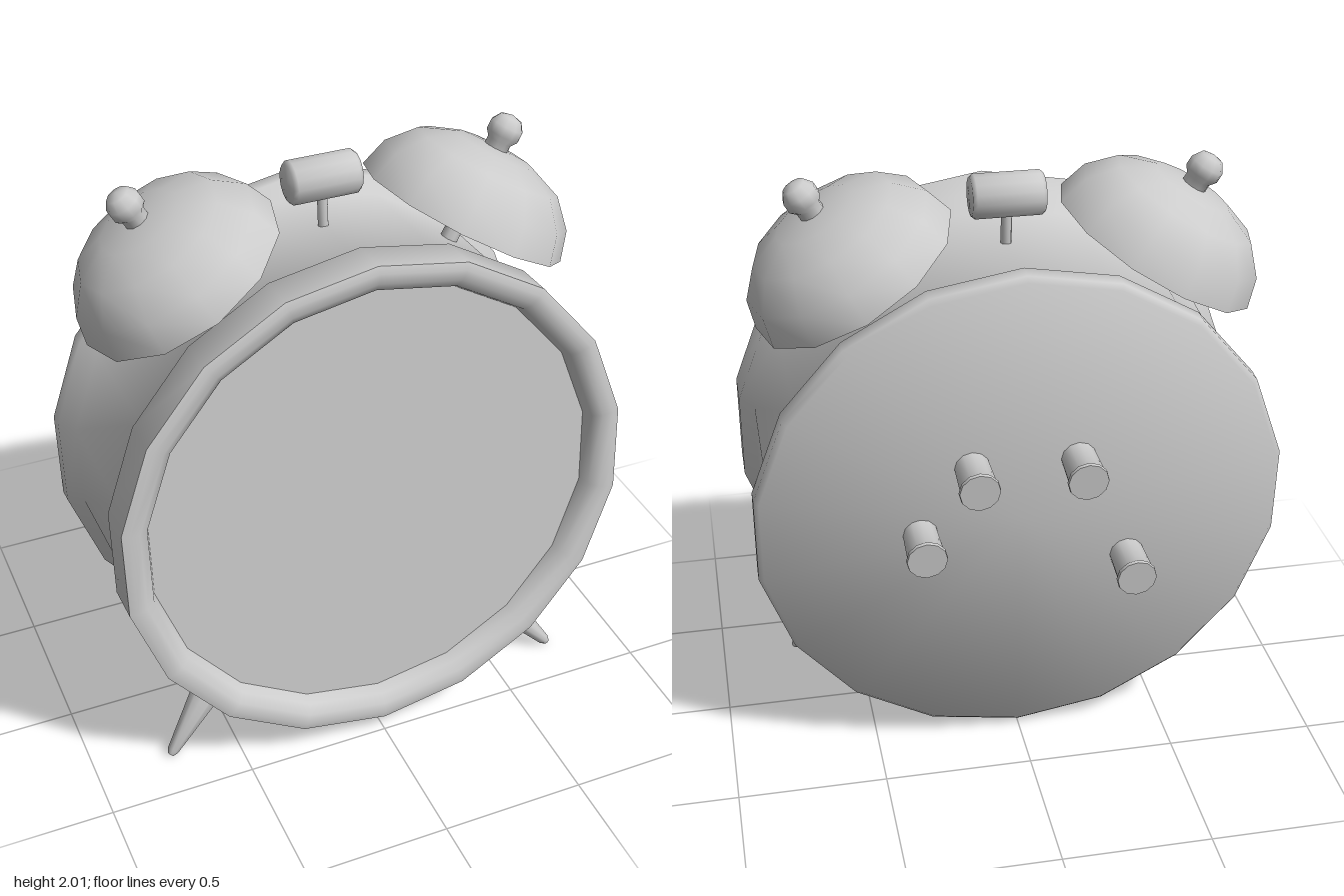
import * as THREE from 'three';
import { toCreasedNormals } from 'three/addons/utils/BufferGeometryUtils.js';

const grey = new THREE.MeshStandardMaterial({ color: 0xcccccc });
const greyThin = new THREE.MeshStandardMaterial({ color: 0xcccccc, side: THREE.DoubleSide });

// Turned part around y from [radius, height] pairs listed bottom to top
function turned(name, profile, sides, material = grey, crease = 0.9) {
  const points = profile.map(([r, y]) => new THREE.Vector2(r, y));
  const geometry = toCreasedNormals(new THREE.LatheGeometry(points, sides), crease);
  const mesh = new THREE.Mesh(geometry, material);
  mesh.name = name;
  return mesh;
}

// Bell with stem and finial, standing on its own rim plane
function makeBell(name) {
  const bell = new THREE.Group();
  bell.name = name;
  bell.add(turned('bellDome',
    [[0.365, 0], [0.335, 0.1], [0.255, 0.187], [0.14, 0.232], [0, 0.245]], 12, greyThin));
  bell.add(turned('bellStem', [[0.03, -0.13], [0.03, 0.23]], 8));
  bell.add(turned('bellFinial',
    [[0.042, 0.2], [0.042, 0.265], [0.058, 0.285], [0.058, 0.318], [0.038, 0.348], [0, 0.358]], 10));
  return bell;
}

export function createModel() {
  const model = new THREE.Group();
  model.name = 'alarmClock';

  // Everything but the feet leans back slightly
  const clock = new THREE.Group();
  clock.name = 'clock';
  clock.position.set(0, 0.915, 0.05);
  clock.rotation.x = -0.07;
  model.add(clock);

  // Case: flat back, flared rear edge, barrel and front rim
  const body = turned('case', [
    [0, -0.396], [0.868, -0.396], [0.885, -0.38], [0.885, -0.325], [0.835, -0.28],
    [0.835, 0.205], [0.885, 0.25], [0.885, 0.39], [0.86, 0.397], [0.825, 0.392],
    [0.795, 0.37], [0.78, 0.325],
  ], 18);
  body.rotation.x = Math.PI / 2;
  clock.add(body);

  // Recessed dial
  const dial = turned('dial', [[0.79, 0.33], [0, 0.33]], 18);
  dial.rotation.x = Math.PI / 2;
  clock.add(dial);

  // Bells
  for (const side of [1, -1]) {
    const bell = makeBell(side > 0 ? 'leftBell' : 'rightBell');
    bell.position.set(side * 0.4925, 0.775, -0.04);
    bell.rotation.z = -side * Math.PI / 6;
    clock.add(bell);
  }

  // Hammer between the bells
  const hammer = turned('hammerHead', [
    [0, -0.118], [0.062, -0.118], [0.073, -0.105], [0.073, 0.105], [0.062, 0.118], [0, 0.118],
  ], 14);
  hammer.rotation.z = Math.PI / 2;
  hammer.position.set(0, 1.0, -0.045);
  const hammerStem = turned('hammerStem', [[0.018, 0.8], [0.018, 0.98]], 8);
  hammerStem.position.z = -0.045;
  clock.add(hammer, hammerStem);

  // Winding knobs on the back, slightly wider at the outer end
  const knobs = [[-0.18, 0.217], [0.17, 0.217], [0.34, -0.026], [-0.36, -0.188]];
  for (const [x, y] of knobs) {
    const knob = turned('windingKnob',
      [[0.058, 0], [0.062, 0.13], [0.068, 0.138], [0.066, 0.15], [0, 0.15]], 12);
    knob.rotation.x = -Math.PI / 2;
    knob.position.set(x, y, -0.393);
    clock.add(knob);
  }

  // Tapered front feet, splayed outwards
  for (const side of [1, -1]) {
    const base = new THREE.Vector3(side * 0.49, 0.3, 0.24);
    const tip = new THREE.Vector3(side * 0.739, 0.004, 0.33);
    const length = base.distanceTo(tip);
    const foot = turned(side > 0 ? 'leftFoot' : 'rightFoot', [
      [0, 0], [0.012, 0.002], [0.021, 0.02], [0.066, length - 0.06], [0.066, length], [0, length],
    ], 10);
    foot.position.copy(tip);
    foot.quaternion.setFromUnitVectors(new THREE.Vector3(0, 1, 0), base.sub(tip).normalize());
    model.add(foot);
  }

  return model;
}
